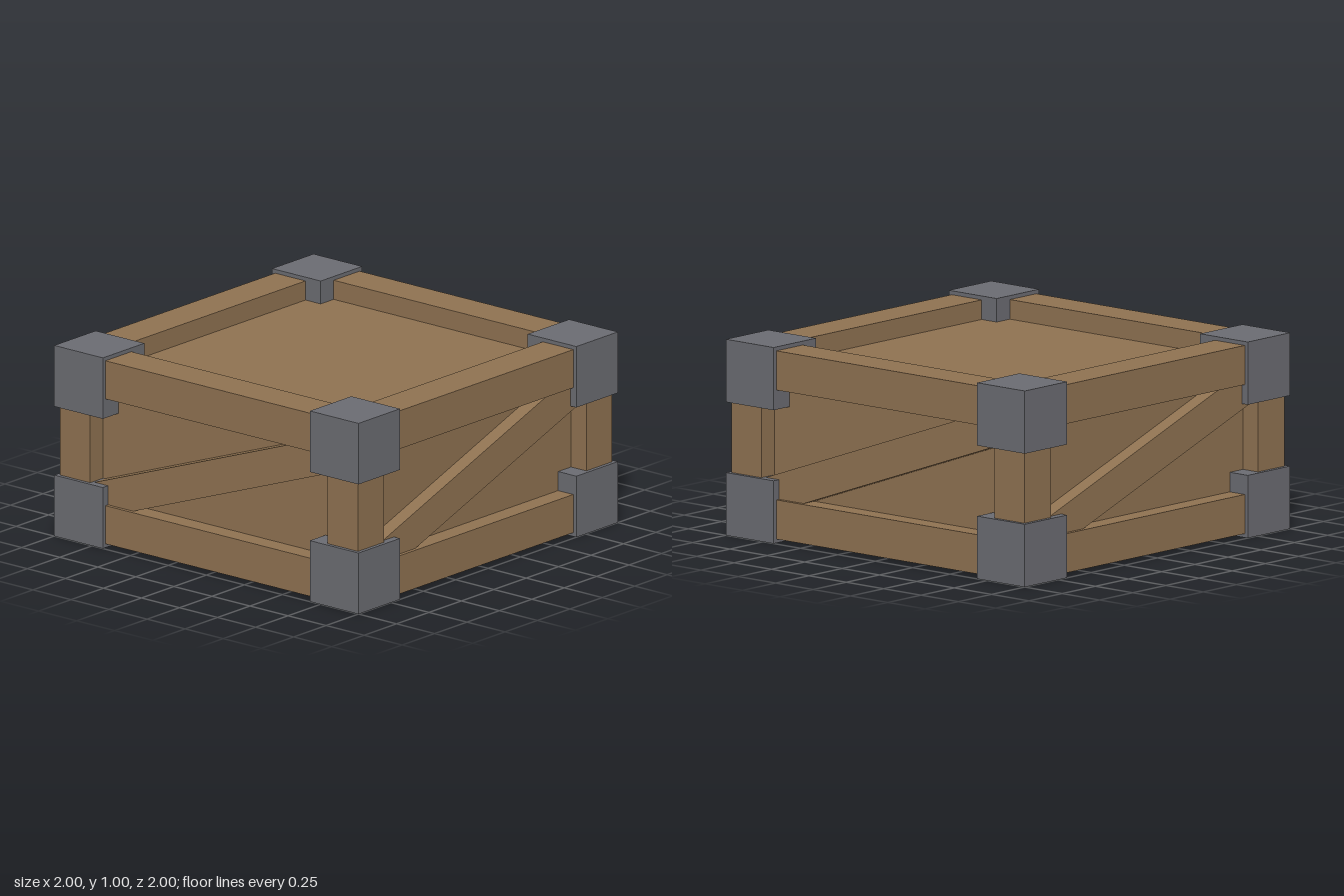
import * as THREE from 'three';

export function createModel() {
  const crate = new THREE.Group();
  crate.name = 'crate';
  const wood = new THREE.MeshStandardMaterial({ color: 0x8f7251 });
  wood.name = 'brown wood';
  const metal = new THREE.MeshStandardMaterial({ color: 0x6b6c72 });
  metal.name = 'grey metal';

  const box = (name, size, pos, material, parent = crate) => {
    const mesh = new THREE.Mesh(new THREE.BoxGeometry(...size), material);
    mesh.name = name;
    mesh.position.set(...pos);
    parent.add(mesh);
    return mesh;
  };

  const mid = 0.5;      // centre height
  const beam = 0.2;     // square beam thickness
  const edge = 0.88;    // beam centre line in x and z
  const rise = 0.38;    // beam centre line above and below the middle
  const cap = 0.32;     // corner cube
  const span = 1.5;     // horizontal beams end inside the corner caps

  // recessed panels
  box('panelCore', [edge * 2, rise * 2, edge * 2], [0, mid, 0], wood);

  for (const a of [-1, 1]) {
    for (const b of [-1, 1]) {
      // frame beams
      box('crossBeam', [span, beam, beam], [0, mid + a * rise, b * edge], wood);
      box('sideBeam', [beam, beam, span], [b * edge, mid + a * rise, 0], wood);
      box('cornerPost', [beam, 0.5, beam], [a * edge, mid, b * edge], wood);
      // metal corner caps
      for (const c of [-1, 1]) {
        box('cornerCap', [cap, cap, cap],
          [a * (1 - cap / 2), mid + c * (0.5 - cap / 2), b * (1 - cap / 2)], metal);
      }
    }
  }

  // one diagonal brace on each of the four sides
  for (let i = 0; i < 4; i++) {
    const side = new THREE.Group();
    side.name = 'braceSide';
    side.rotation.y = i * Math.PI / 2;
    const brace = box('diagonalBrace', [1.72, 0.18, 0.16], [0, mid, edge], wood, side);
    brace.rotation.z = Math.atan2(0.56, 1.56);
    crate.add(side);
  }
  return crate;
}
